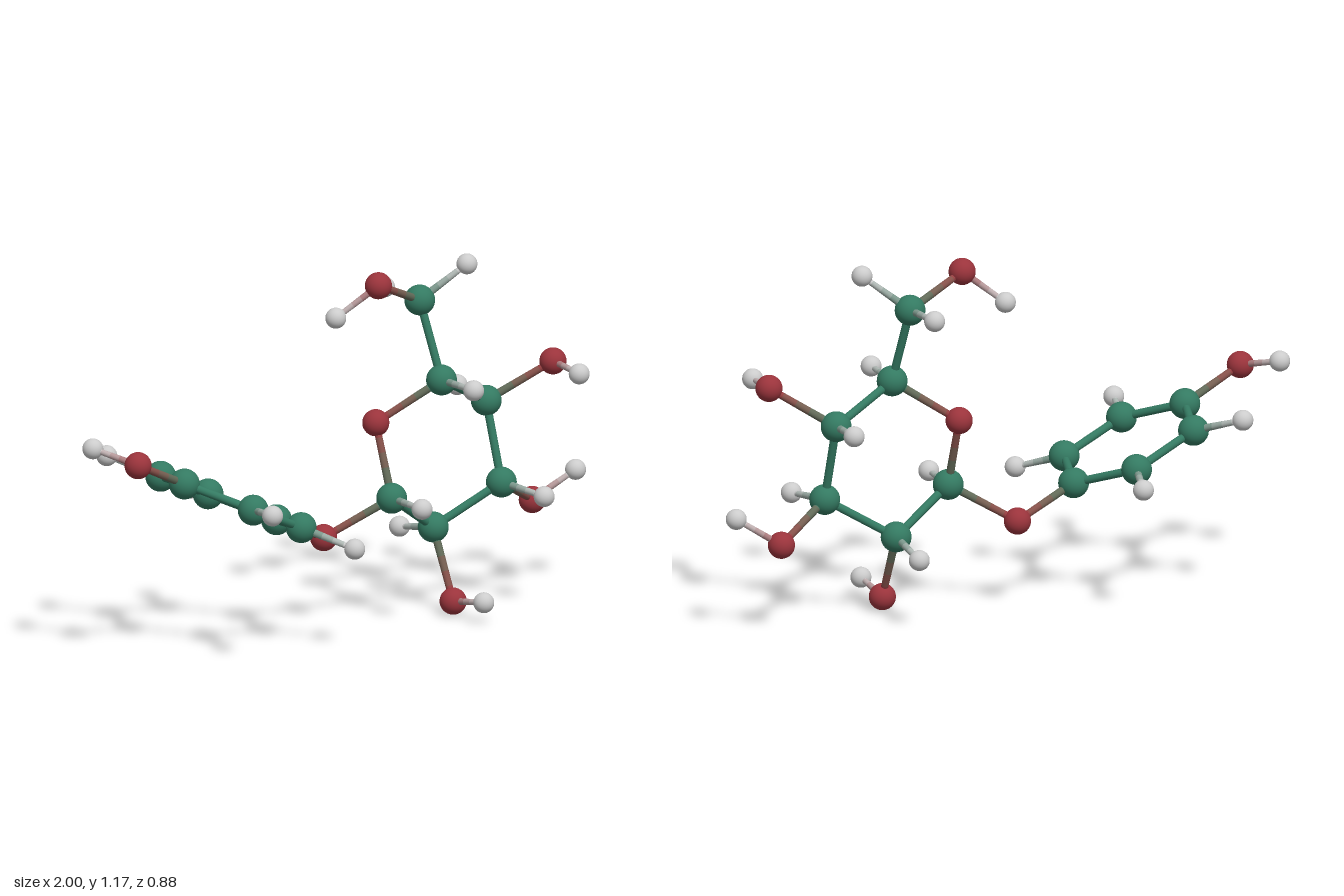
import * as THREE from 'three';

// Atom kinds: ball radius, bond end radius, color
const KINDS = {
  C: { name: 'carbon', r: 0.05, bond: 0.0135, color: 0x347a62 },
  O: { name: 'oxygen', r: 0.044, bond: 0.0115, color: 0x9b343c },
  H: { name: 'hydrogen', r: 0.034, bond: 0.009, color: 0xcccccc },
};

// Flat six-carbon ring with its side atoms: [x, y, z]
const FLAT_RING = {
  CA: [-0.238, 0.386, -0.043], CB: [-0.371, 0.457, -0.231], CC: [-0.596, 0.554, -0.195],
  CD: [-0.682, 0.582, 0.036], CE: [-0.548, 0.51, 0.225], CF: [-0.323, 0.414, 0.192],
  HB: [-0.306, 0.435, -0.408], HC: [-0.698, 0.61, -0.347],
  HE: [-0.612, 0.532, 0.406], HF: [-0.222, 0.355, 0.343],
  OD: [-0.9, 0.68, 0.069], HOD: [-0.966, 0.718, -0.083],
};

// Puckered ring with its side atoms and the oxygen bridge
const PUCKERED_RING = {
  OBridge: [-0.019, 0.29, -0.073], ORing: [0.185, 0.645, -0.058],
  C1: [0.179, 0.411, 0.032], H1: [0.153, 0.412, 0.222],
  C2: [0.398, 0.274, -0.027], H2: [0.412, 0.24, -0.22], O2: [0.391, 0.049, 0.085], HO2: [0.383, 0.075, 0.254],
  C3: [0.617, 0.406, 0.052], H3: [0.64, 0.389, 0.245], O3: [0.826, 0.3, -0.05], HO3: [0.963, 0.39, 0.003],
  C4: [0.613, 0.665, -0.022], H4: [0.645, 0.678, -0.213], O4: [0.8, 0.789, 0.09], HO4: [0.773, 0.78, 0.26],
  C5: [0.378, 0.777, 0.041], H5: [0.354, 0.78, 0.238],
  C6: [0.357, 1.03, -0.046], H6a: [0.495, 1.143, 0.026], H6b: [0.367, 1.037, -0.241],
  O6: [0.136, 1.12, 0.017], HO6: [0.013, 1.018, -0.05],
};

// Chains of bonded atoms
const CHAINS = [
  'CA CB CC CD CE CF CA', 'CB HB', 'CC HC', 'CE HE', 'CF HF', 'CD OD HOD',
  'CA OBridge C1 C2 C3 C4 C5 ORing C1', 'C1 H1', 'C2 H2', 'C3 H3', 'C4 H4', 'C5 H5',
  'C2 O2 HO2', 'C3 O3 HO3', 'C4 O4 HO4', 'C5 C6 O6 HO6', 'C6 H6a', 'C6 H6b',
];

const ATOMS = { ...FLAT_RING, ...PUCKERED_RING };
const kindOf = (id) => KINDS[id[0]];
const UP = new THREE.Vector3(0, 1, 0);

// Tapered rod whose color blends from one atom to the other
function makeBond(idA, idB) {
  const a = new THREE.Vector3(...ATOMS[idA]);
  const b = new THREE.Vector3(...ATOMS[idB]);
  const ka = kindOf(idA), kb = kindOf(idB);
  const bond = new THREE.Group();
  bond.name = `${ka.name}To${kb.name}Bond`;
  const length = a.distanceTo(b);
  const steps = ka === kb ? 1 : 5;
  const radius = (t) => THREE.MathUtils.lerp(ka.bond, kb.bond, t);
  for (let i = 0; i < steps; i++) {
    const t0 = i / steps, t1 = (i + 1) / steps;
    const geometry = new THREE.CylinderGeometry(radius(t1), radius(t0), length / steps, 16, 1, true);
    const color = new THREE.Color(ka.color).lerp(new THREE.Color(kb.color), (i + 0.5) / steps);
    const piece = new THREE.Mesh(geometry, new THREE.MeshStandardMaterial({ color }));
    piece.name = 'bondSegment';
    piece.position.y = length * (t0 + t1) / 2;
    bond.add(piece);
  }
  bond.position.copy(a);
  bond.quaternion.setFromUnitVectors(UP, b.sub(a).normalize());
  return bond;
}

export function createModel() {
  const model = new THREE.Group();
  model.name = 'ballAndStickMolecule';

  // Shared ball geometry and material for each kind of atom
  const balls = {};
  for (const [key, kind] of Object.entries(KINDS)) {
    balls[key] = {
      geometry: new THREE.SphereGeometry(kind.r, 32, 20),
      material: new THREE.MeshStandardMaterial({ color: kind.color }),
    };
  }

  // Atoms
  for (const [name, atoms] of [['flatRingAtoms', FLAT_RING], ['puckeredRingAtoms', PUCKERED_RING]]) {
    const group = new THREE.Group();
    group.name = name;
    for (const [id, position] of Object.entries(atoms)) {
      const { geometry, material } = balls[id[0]];
      const atom = new THREE.Mesh(geometry, material);
      atom.name = `${kindOf(id).name}Atom`;
      atom.position.set(...position);
      group.add(atom);
    }
    model.add(group);
  }

  // Bonds
  const bonds = new THREE.Group();
  bonds.name = 'bonds';
  for (const chain of CHAINS) {
    const ids = chain.split(' ');
    for (let i = 1; i < ids.length; i++) bonds.add(makeBond(ids[i - 1], ids[i]));
  }
  model.add(bonds);
  return model;
}
